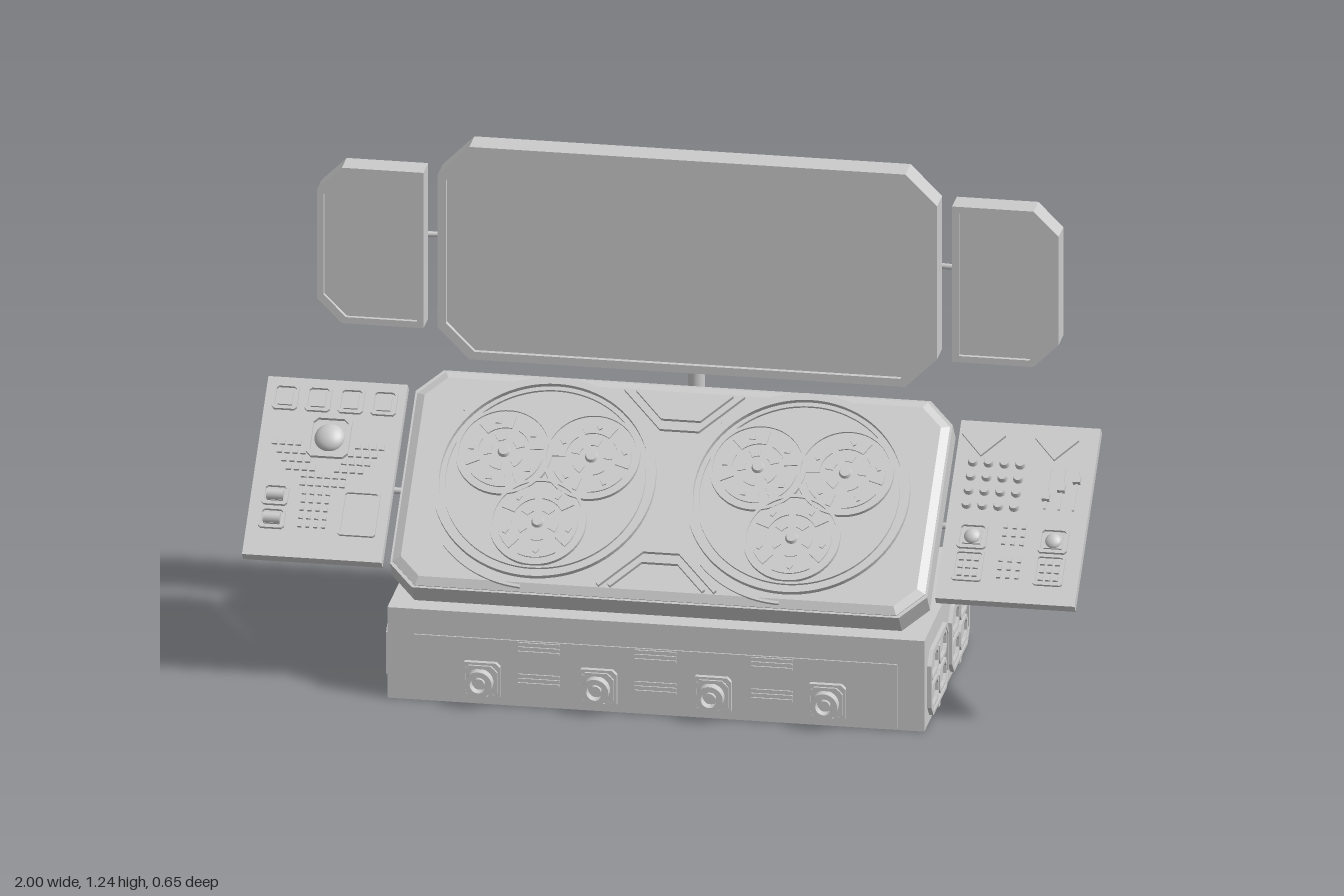
import * as THREE from 'three';

const mat = new THREE.MeshStandardMaterial({ color: 0xcccccc, side: THREE.DoubleSide });

function add(parent, name, geo, x = 0, y = 0, z = 0) {
  const m = new THREE.Mesh(geo, mat);
  m.name = name;
  m.position.set(x, y, z);
  parent.add(m);
  return m;
}
const group = (parent, name, x = 0, y = 0, z = 0) => {
  const g = new THREE.Group();
  g.name = name;
  g.position.set(x, y, z);
  parent.add(g);
  return g;
};
const box = (p, n, w, h, d, x, y, z) => add(p, n, new THREE.BoxGeometry(w, h, d), x, y, z);
const poly = pts => new THREE.Shape(pts.map(p => new THREE.Vector2(p[0], p[1])));
const extrude = (s, depth, seg = 24) =>
  new THREE.ExtrudeGeometry(s, { depth, bevelEnabled: false, curveSegments: seg });

// Rectangle with cut corners; cl and cr are the cuts on the -x and +x ends
function cut(w, h, cl, cr = cl) {
  const a = w / 2, b = h / 2;
  const pts = [[-a + cl, -b], [a - cr, -b]];
  if (cr) pts.push([a, -b + cr], [a, b - cr]);
  pts.push([a - cr, b], [-a + cl, b]);
  if (cl) pts.push([-a, b - cl], [-a, -b + cl]);
  return poly(pts);
}
function frame(w, h, c, t, cr = c) {
  const s = cut(w, h, c, cr);
  s.holes.push(cut(w - 2 * t, h - 2 * t, c * 0.9, cr * 0.9));
  return s;
}
function ring(r1, r0, a0 = 0, a1 = Math.PI * 2) {
  const s = new THREE.Shape();
  if (a1 - a0 > 6.28) {
    s.absarc(0, 0, r1, 0, Math.PI * 2);
    s.holes.push(new THREE.Path().absarc(0, 0, r0, 0, Math.PI * 2));
  } else {
    s.absarc(0, 0, r1, a0, a1).absarc(0, 0, r0, a1, a0, true);
  }
  return s;
}
// Cylinder standing on z
const disc = (r, d, r2 = r, seg = 24) => new THREE.CylinderGeometry(r2, r, d, seg).rotateX(Math.PI / 2);
// Raised strip through a list of points
function strip(p, name, pts, w, d, z) {
  for (let i = 1; i < pts.length; i++) {
    const [x0, y0] = pts[i - 1], [x1, y1] = pts[i];
    box(p, name, Math.hypot(x1 - x0, y1 - y0) + w * 0.5, w, d, (x0 + x1) / 2, (y0 + y1) / 2, z)
      .rotation.z = Math.atan2(y1 - y0, x1 - x0);
  }
}
const rod = (p, name, pts, r) => add(p, name, new THREE.TubeGeometry(
  new THREE.CatmullRomCurve3(pts.map(q => new THREE.Vector3(...q))), 24, r, 10));

// Four-lobed clamp that hugs a rear face; the face lies at local z = 0, the clamp grows to -z
function clamp(p, x, y, z, s) {
  const g = group(p, 'clampBracket', x, y, z);
  const profile = new THREE.SplineCurve([[0.02, 0], [0.016, 0.05], [0.03, 0.105], [0.026, 0.135], [0, 0.15]]
    .map(q => new THREE.Vector2(...q))).getPoints(14).map(v => new THREE.Vector2(Math.max(0, v.x), v.y));
  for (let i = 0; i < 4; i++) {
    const geo = new THREE.LatheGeometry(profile, 14).scale(1, 1, 0.6).rotateX(0.14)
      .rotateZ(Math.PI / 4 + i * Math.PI / 2);
    add(g, 'clampLobe', geo, 0, 0, -0.024);
  }
  add(g, 'clampHub', new THREE.SphereGeometry(0.03, 18, 12).scale(1, 1, 0.7), 0, 0, -0.022);
  g.scale.setScalar(s);
}

function buildBase(root) {
  const g = group(root, 'base');
  box(g, 'baseBlock', 1.29, 0.23, 0.61, 0, 0.115, -0.02);
  // Front trim
  box(g, 'frontPlate', 1.16, 0.16, 0.006, 0, 0.087, 0.286);
  for (const x of [-0.28, 0, 0.28]) for (const y of [0.15, 0.07])
    for (let i = 0; i < 3; i++) box(g, 'vent', 0.1, 0.006, 0.006, x, y + (i - 1) * 0.011, 0.29);
  // Front sockets
  for (const x of [-0.42, -0.14, 0.135, 0.41]) {
    const s = group(g, 'socket', x, 0.062, 0.285);
    add(s, 'socketPlate', extrude(cut(0.096, 0.096, 0.01), 0.017));
    add(s, 'socketRim', extrude(frame(0.084, 0.084, 0.015, 0.008), 0.023));
    add(s, 'socketCollar', extrude(ring(0.033, 0.02), 0.042));
    add(s, 'socketCore', disc(0.013, 0.03), 0, 0, 0.02);
    for (const a of [-1, 1]) for (const b of [-1, 1]) add(s, 'bolt', disc(0.005, 0.008, 0.005, 8), a * 0.032, b * 0.032, 0.02);
  }
  // Side hatches
  for (const side of [-1, 1]) for (const z of [0.123, -0.163]) {
    const h = group(g, 'sideHatch', side * 0.645, 0.098, z);
    h.rotation.y = side * Math.PI / 2;
    add(h, 'hatchFrame', extrude(frame(0.245, 0.165, 0.03, 0.009), 0.01));
    for (const a of [-1, 1]) for (const b of [-1, 1])
      add(h, 'hatchCell', extrude(frame(0.1, 0.064, 0.014, 0.009), 0.008), a * 0.056, b * 0.038, 0);
    box(h, 'hatchFoot', 0.02, 0.012, 0.01, 0, -0.088, 0.004);
  }
}

function buildDial(p, x, y, z) {
  const g = group(p, 'dialCluster', x, y, z);
  add(g, 'dialOuterRing', extrude(ring(0.267, 0.25), 0.014, 40));
  add(g, 'dialInnerRing', extrude(ring(0.242, 0.236), 0.008, 40));
  [[-0.105, 0.065], [0.105, 0.065], [0, -0.118]].forEach(([dx, dy], k) => {
    const d = group(g, 'dial', dx, dy, 0);
    d.rotation.z = k * 2.1;
    add(d, 'dialFace', disc(0.114, 0.006, 0.114, 36), 0, 0, 0.003);
    add(d, 'dialRim', extrude(ring(0.116, 0.108), 0.011, 30));
    add(d, 'dialHub', disc(0.018, 0.014, 0.012), 0, 0, 0.007);
    for (let i = 0; i < 5; i++) {
      const a = i * Math.PI * 0.4;
      add(d, 'dialSegment', extrude(ring(0.096, 0.062, a + 0.12, a + 1.1), 0.01, 8));
      add(d, 'dialTick', extrude(ring(0.05, 0.03, a + 0.3, a + 0.9), 0.009, 6));
      box(d, 'dialButton', 0.014, 0.009, 0.006, 0.079 * Math.cos(a + 0.6), 0.079 * Math.sin(a + 0.6), 0.011);
    }
  });
}

function buildDesk(g) {
  // Slab with bevelled front edge
  add(g, 'deskSlab', extrude(cut(1.29, 0.585, 0.06), 0.064), 0, 0, -0.037);
  add(g, 'deskTop', new THREE.ExtrudeGeometry(cut(1.24, 0.535, 0.05), {
    depth: 0.002, bevelThickness: 0.01, bevelSize: 0.02, bevelSegments: 1 }), 0, 0, 0.027);
  for (const s of [-1, 1]) {
    buildDial(g, s * 0.305, 0.012, 0.038);
    // Waisted trim around the dials
    const a = s > 0 ? -2.0 : Math.PI - 1.1;
    for (const m of [a, s > 0 ? 2.0 - 0.0 : -(Math.PI - 1.1)])
      add(g, 'trimArc', extrude(ring(0.284, 0.277, m - 0.4, m + 0.4), 0.008), s * 0.305, 0.0, 0.037);
  }
  for (const s of [-1, 1]) for (const k of [0, 0.028])
    strip(g, 'waistTrim', [[-0.14 + k, s * 0.262], [-0.045, s * (0.165 + k)], [0.045, s * (0.165 + k)],
      [0.14 - k, s * 0.262]], 0.009, 0.012, 0.043);
}

function buildWing(g, side) {
  const w = group(g, side > 0 ? 'leftWing' : 'rightWing', side * 0.8325, 0.005, 0.019);
  box(w, 'wingPanel', 0.335, 0.48, 0.025, 0, 0, 0);
  const z = 0.0125;
  const keys = (n, m, x, y, dx, dy, s) => {
    for (let i = 0; i < n; i++) for (let j = 0; j < m; j++)
      box(w, 'key', s, s, 0.008, x + (i - (n - 1) / 2) * dx, y + (j - (m - 1) / 2) * dy, z + 0.003);
  };
  const pad = (pw, ph, x, y) => {
    add(w, 'padFrame', extrude(frame(pw, ph, 0.006, 0.006), 0.008), x, y, z);
    box(w, 'pad', pw - 0.026, ph - 0.026, 0.006, x, y, z + 0.002);
  };
  if (side < 0) {
    for (let i = 0; i < 4; i++) pad(0.06, 0.066, -0.118 + i * 0.079, 0.185);
    // Trackball
    add(w, 'ballFrame', extrude(frame(0.1, 0.11, 0.012, 0.008), 0.01), 0, 0.085, z);
    add(w, 'trackball', new THREE.SphereGeometry(0.036, 24, 16).scale(1, 1, 0.6), 0, 0.085, z);
    for (const s of [-1, 1]) for (let r = 0; r < 4; r++) keys(4, 1, s * (0.1 - r * 0.014), 0.065 - r * 0.022, 0.019, 0, 0.013);
    keys(6, 2, 0, -0.03, 0.019, 0.022, 0.013);
    for (const y of [-0.077, -0.14]) {
      pad(0.062, 0.055, -0.108, y);
      add(w, 'roller', new THREE.CylinderGeometry(0.014, 0.014, 0.04, 16).rotateZ(Math.PI / 2), -0.108, y, z + 0.004);
    }
    keys(4, 5, -0.012, -0.11, 0.019, 0.022, 0.01);
    add(w, 'screenFrame', extrude(frame(0.09, 0.12, 0.005, 0.006), 0.007), 0.098, -0.115, z);
  } else {
    for (const x of [-0.108, 0.068]) {
      const fan = new THREE.Shape().absarc(0, -0.04, 0.085, 0.9, Math.PI - 0.9).lineTo(0, -0.03);
      add(w, 'gauge', extrude(fan, 0.008), x, 0.175, z);
    }
    for (let i = 0; i < 4; i++) for (let j = 0; j < 4; j++)
      add(w, 'knob', disc(0.013, 0.014, 0.01, 14), -0.125 + i * 0.038, 0.13 - j * 0.038, z + 0.006);
    for (let i = 0; i < 3; i++) {
      box(w, 'sliderTrack', 0.006, 0.11, 0.005, 0.062 + i * 0.034, 0.07, z + 0.002);
      box(w, 'sliderGrip', 0.018, 0.018, 0.016, 0.062 + i * 0.034, 0.045 + i * 0.025, z + 0.007);
    }
    for (const x of [-0.1, 0.095]) {
      pad(0.07, 0.066, x, -0.07);
      add(w, 'dome', new THREE.SphereGeometry(0.02, 16, 10).scale(1, 1, 0.6), x, -0.07, z + 0.004);
      add(w, 'keypadFrame', extrude(frame(0.07, 0.08, 0.004, 0.005), 0.007), x, -0.15, z);
      keys(3, 3, x, -0.15, 0.018, 0.021, 0.012);
    }
    for (const y of [-0.06, -0.15]) keys(3, 3, -0.002, y, 0.022, 0.022, 0.01);
  }
  clamp(w, 0, -0.01, -0.0125, 0.6);
}

function buildConsole(root) {
  const g = group(root, 'console', 0, 0.4575, 0.054);
  g.rotation.x = -THREE.MathUtils.degToRad(49.5);
  buildDesk(g);
  for (const s of [-1, 1]) {
    buildWing(g, s);
    // Post, hinge and wing arm
    add(root, 'consolePost', new THREE.CylinderGeometry(0.015, 0.015, 0.19, 20), s * 0.42, 0.32, -0.005);
    for (const d of [-0.02, 0.02])
      add(root, 'hingeCheek', new THREE.CylinderGeometry(0.05, 0.05, 0.012, 28).rotateZ(Math.PI / 2), s * 0.42 + d, 0.435, 0.012);
    add(root, 'hingePin', new THREE.CylinderGeometry(0.012, 0.012, 0.075, 16).rotateZ(Math.PI / 2), s * 0.42, 0.42, 0.005);
    rod(root, 'wingArm', [[s * 0.42, 0.417, 0.008], [s * 0.6, 0.417, 0.01], [s * 0.74, 0.424, 0.014], [s * 0.8325, 0.448, 0.04]], 0.008);
  }
}

function buildScreens(root) {
  const g = group(root, 'screens', 0, 0.97, -0.22);
  add(g, 'mainScreen', extrude(cut(1.2, 0.54, 0.076), 0.058));
  add(g, 'mainScreenBezel', extrude(frame(1.2, 0.54, 0.076, 0.02), 0.07));
  clamp(g, 0, 0, 0, 1);
  for (const s of [-1, 1]) {
    const [cl, cr] = s > 0 ? [0, 0.06] : [0.06, 0];
    add(g, 'sideScreen', extrude(cut(0.256, 0.395, cl, cr), 0.055), s * 0.763, -0.003, 0);
    add(g, 'sideScreenBezel', extrude(frame(0.256, 0.395, cl, 0.016, cr), 0.065), s * 0.763, -0.003, 0);
    clamp(g, s * 0.763, 0, 0, 0.42);
    rod(g, 'screenArm', [[0, 0, -0.06], [s * 0.2, 0, -0.06], [s * 0.4, 0, -0.053], [s * 0.6, 0, -0.04], [s * 0.763, 0, -0.02]], 0.007);
    add(g, 'armSleeve', new THREE.CylinderGeometry(0.01, 0.01, 0.06, 14).rotateZ(Math.PI / 2), s * 0.4, 0, -0.053);
  }
  // Telescopic mast
  add(root, 'mastLower', new THREE.CylinderGeometry(0.02, 0.02, 0.45, 24), 0, 0.455, -0.277);
  add(root, 'mastUpper', new THREE.CylinderGeometry(0.012, 0.012, 0.31, 20), 0, 0.825, -0.277);
  add(root, 'mastHead', new THREE.CylinderGeometry(0.01, 0.01, 0.05, 16).rotateX(Math.PI / 2), 0, 0.97, -0.26);
}

export function createModel() {
  const root = new THREE.Group();
  root.name = 'controlStation';
  buildBase(root);
  buildConsole(root);
  buildScreens(root);
  return root;
}
